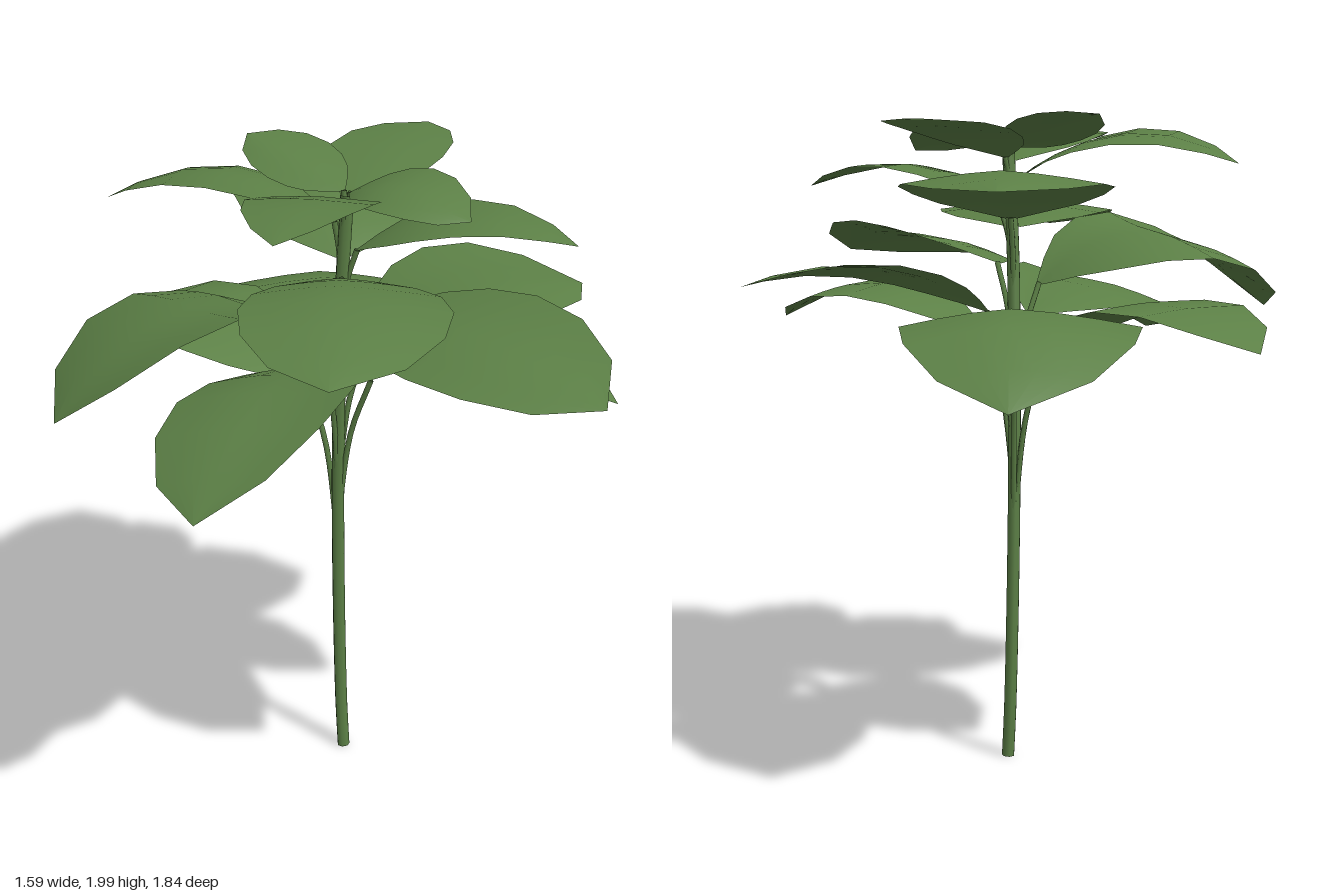
import * as THREE from 'three';

const leafGreen = new THREE.MeshStandardMaterial({ color: 0x5c8046, side: THREE.DoubleSide });
leafGreen.name = 'leaf green';

// Blade outline: [position along midrib, share of half width]
const OUTLINE = [[0, 0.06], [0.08, 0.36], [0.18, 0.68], [0.31, 0.9], [0.48, 1], [0.68, 0.92], [0.87, 0.6], [1, 0]];
const ACROSS = 6;

// Stem centre line
const stemPath = new THREE.CatmullRomCurve3([
  new THREE.Vector3(0.03, 0, 0),
  new THREE.Vector3(0.022, 0.18, -0.008),
  new THREE.Vector3(0.01, 0.9, 0.005),
  new THREE.Vector3(0.015, 1.55, 0.055),
  new THREE.Vector3(0.03, 1.88, 0.07),
]);

function stemPointAt(y) {
  let lo = 0, hi = 1;
  for (let i = 0; i < 24; i++) {
    const m = (lo + hi) / 2;
    if (stemPath.getPoint(m).y < y) lo = m; else hi = m;
  }
  return stemPath.getPoint(lo);
}

// Blade swept along its midrib; roll lifts the left edge and lowers the right one,
// droop lowers both, point narrows the outer end
function bladeGeometry(rib, wLeft, wRight, roll, droop, point) {
  const along = rib.v2.clone().sub(rib.v0);
  const side = new THREE.Vector3(-along.z, 0, along.x).normalize();
  const pos = [], idx = [];
  for (const [t, share] of OUTLINE) {
    const c = rib.getPoint(t);
    const w = share * (1 - point * t * t);
    for (let j = 0; j <= ACROSS; j++) {
      const v = (j / ACROSS) * 2 - 1;
      const p = c.clone().addScaledVector(side, v * w * (v < 0 ? wLeft : wRight));
      p.y -= Math.pow(Math.abs(v), 1.4) * w * (Math.sign(v) * roll + droop);
      pos.push(p.x, p.y, p.z);
    }
  }
  const n = ACROSS + 1, last = OUTLINE.length - 2;
  for (let i = 0; i <= last; i++) {
    for (let j = 0; j < ACROSS; j++) {
      const a = i * n + j, c = a + n;
      idx.push(a, c, a + 1);
      if (i < last) idx.push(a + 1, c, c + 1);
    }
  }
  const g = new THREE.BufferGeometry();
  g.setAttribute('position', new THREE.Float32BufferAttribute(pos, 3));
  g.setIndex(idx);
  g.computeVertexNormals();
  return g;
}

// name, tip x, y, z, height of the arch, rise from base to arch,
// left and right half width, roll, then droop and point where they differ from the usual
const LEAVES = [
  ['lowerBackLeaf', -0.01, 1.22, -0.92, 1.45, 0.2, 0.36, 0.31, 0, 0.05],
  ['lowerRightBackLeaf', -0.68, 1.33, -0.52, 1.45, 0.18, 0.31, 0.24, 0],
  ['lowerRightFrontLeaf', -0.42, 1.27, 0.9, 1.46, 0.08, 0.25, 0.27, 0.06],
  ['lowerLeftLeaf', 0.77, 1.35, 0.38, 1.47, 0.15, 0.24, 0.15, -0.015],
  ['middleLeftBackLeaf', 0.79, 1.49, -0.26, 1.54, 0.14, 0.33, 0.24, 0.035],
  ['middleLeftFrontLeaf', 0.62, 1.54, 0.87, 1.61, 0.07, 0.25, 0.24, 0.06],
  ['middleRightLeaf', -0.79, 1.38, 0.48, 1.63, 0.15, 0.28, 0.37, 0.06],
  ['middleFrontLeaf', -0.08, 1.63, 0.92, 1.72, 0.07, 0.31, 0.26, 0, 0.03],
  ['upperBackLeaf', 0.03, 1.77, -0.7, 1.82, 0.14, 0.31, 0.3, 0, 0.04],
  ['upperLeftLeaf', 0.66, 1.77, 0.25, 1.84, 0.12, 0.22, 0.2, 0, 0.01, 0.45],
  ['upperRightLeaf', -0.65, 1.84, -0.09, 1.93, 0.13, 0.26, 0.23, 0.03, 0.01, 0.45],
  ['topFrontLeaf', -0.2, 1.91, 0.63, 1.95, 0.1, 0.19, 0.21, 0.01, 0.01, 0.4],
  ['topLeftBackLeaf', 0.32, 1.96, -0.44, 1.95, 0.09, 0.19, 0.17, 0],
  ['crownRightLeaf', -0.24, 1.98, -0.25, 1.95, 0.06, 0.11, 0.13, -0.03],
  ['crownLeftLeaf', 0.34, 1.88, 0.36, 1.94, 0.05, 0.12, 0.13, 0.035],
];

function makeLeaf(name, x, y, z, archY, rise, wLeft, wRight, roll, droop = 0.01, point = 0) {
  // Blades start further out from the stem in the lower tiers
  const tip = new THREE.Vector3(x, y, z);
  const baseY = archY - rise;
  const offset = THREE.MathUtils.mapLinear(baseY, 1.25, 1.9, 0.13, 0.03);
  const base = stemPointAt(baseY).lerp(tip, offset).setY(baseY);
  const control = base.clone().lerp(tip, 0.5);
  control.y = 2 * archY - control.y;
  const rib = new THREE.QuadraticBezierCurve3(base, control, tip);

  // Low stalks leave the stem further down than high ones
  const start = stemPointAt(0.8 + (baseY - 1.3) * 1.6);
  const bend = start.clone().lerp(base, 0.4);
  bend.y = THREE.MathUtils.lerp(start.y, baseY, 0.62);
  const stalk = new THREE.CatmullRomCurve3([start, bend, base]);

  const leaf = new THREE.Group();
  leaf.name = name;
  leaf.add(
    makeMesh('blade', bladeGeometry(rib, wLeft, wRight, roll, droop, point)),
    makeMesh('stalk', new THREE.TubeGeometry(stalk, 10, 0.009, 5)),
  );
  return leaf;
}

function makeMesh(name, geometry) {
  const mesh = new THREE.Mesh(geometry, leafGreen);
  mesh.name = name;
  return mesh;
}

export function createModel() {
  const model = new THREE.Group();
  model.name = 'leafyPlant';
  // Stem with a closed foot
  model.add(makeMesh('stem', new THREE.TubeGeometry(stemPath, 24, 0.02, 7)));
  model.add(makeMesh('stemFoot', new THREE.CircleGeometry(0.02, 7).rotateX(Math.PI / 2).translate(0.03, 0.002, 0)));
  // Leaves in tiers from the bottom up
  for (const leaf of LEAVES) model.add(makeLeaf(...leaf));
  return model;
}
